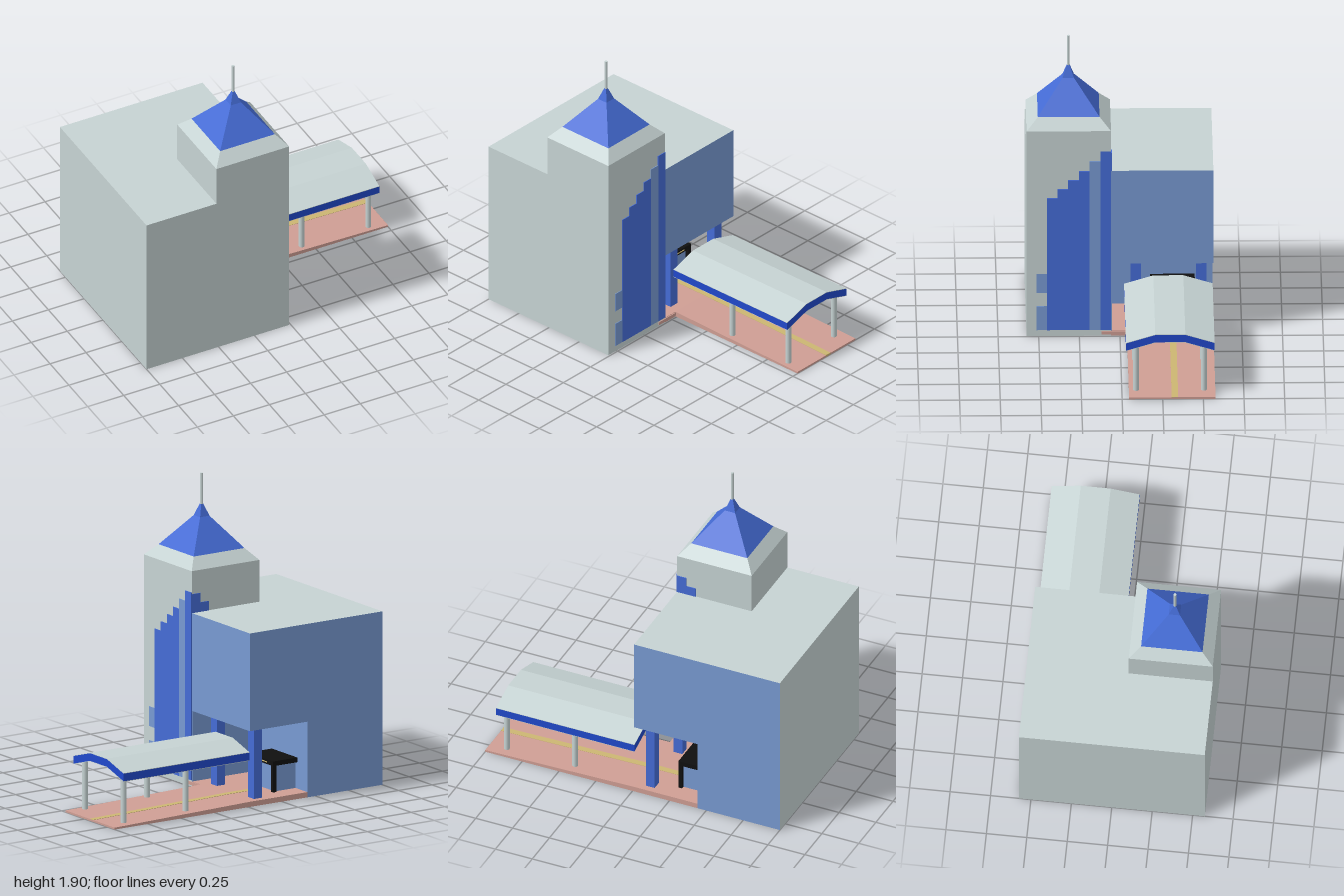
import * as THREE from 'three';

const mat = (name, color, extra = {}) =>
  Object.assign(new THREE.MeshStandardMaterial({ color, ...extra }), { name });

export function createModel() {
  const model = new THREE.Group();
  model.name = 'stationBuilding';

  const grey = mat('paleGrey', 0xc6d3d3);
  const glass = mat('lightBlueGlass', 0x789ad2);
  const blue = mat('blue', 0x456cd6);
  const trim = mat('deepBlueTrim', 0x2149cc);
  const pink = mat('pinkPaving', 0xcf9e94);
  const yellow = mat('yellowLine', 0xccb672);
  const black = mat('black', 0x101010);

  const add = (name, geometry, material, parent = model) => {
    const mesh = new THREE.Mesh(geometry, material);
    mesh.name = name;
    parent.add(mesh);
    return mesh;
  };
  // Box from its two extreme corners
  const box = (name, [x0, x1], [y0, y1], [z0, z1], material, parent) => {
    const g = new THREE.BoxGeometry(x1 - x0, y1 - y0, z1 - z0);
    g.translate((x0 + x1) / 2, (y0 + y1) / 2, (z0 + z1) / 2);
    return add(name, g, material, parent);
  };
  // Extrude a (z, y) outline along x
  const alongX = (name, outline, x0, x1, material, parent) => {
    const shape = new THREE.Shape(outline.map(([z, y]) => new THREE.Vector2(-z, y)));
    const g = new THREE.ExtrudeGeometry(shape, { depth: x1 - x0, bevelEnabled: false });
    g.rotateY(Math.PI / 2).translate(x0, 0, 0);
    return add(name, g, material, parent);
  };

  // Main building, with an open corner under the overhang
  const glazed = [glass, grey, grey, grey, grey, glass];
  box('mainBlock', [-1, -0.44], [0, 1.1], [-0.575, 0.575], glazed);
  box('overhang', [-0.44, -0.01], [0.48, 1.1], [-0.575, 0.055], glazed);
  box('tower', [-0.515, -0.01], [0, 1.365], [0.055, 0.575], grey);
  box('entranceSideWall', [-0.44, -0.012], [0.03, 0.48], [0.05, 0.055], glass);

  // Tower roof: stacked square frustums
  const roof = new THREE.Group();
  roof.name = 'towerRoof';
  roof.position.set(-0.2625, 0, 0.315);
  model.add(roof);
  const levels = [[1.365, 0.2525, 0.26], [1.435, 0.19, 0.19], [1.63, 0.035, 0.035], [1.705, 0.008, 0.008]];
  ['roofSkirt', 'roofPyramid', 'roofNeck'].forEach((name, i) => {
    const [y0, ax, az] = levels[i];
    const [y1, bx, bz] = levels[i + 1];
    const g = new THREE.BoxGeometry(2, y1 - y0, 2);
    const p = g.attributes.position;
    for (let k = 0; k < p.count; k++) {
      const top = p.getY(k) > 0;
      p.setX(k, p.getX(k) * (top ? bx : ax));
      p.setZ(k, p.getZ(k) * (top ? bz : az));
    }
    g.translate(0, (y0 + y1) / 2, 0);
    g.computeVertexNormals();
    add(name, g, i === 0 ? grey : blue, roof);
  });
  add('spire', new THREE.CylinderGeometry(0.009, 0.009, 0.2, 12).translate(0, 1.8, 0), grey, roof);

  // Stepped glazing on the tower side, rising towards the back
  const tops = [0.92, 0.98, 1.04, 1.1, 1.165, 1.23];
  const w = 0.395 / 6;
  tops.forEach((top, i) => {
    const z = 0.45 - i * w;
    box('steppedWindow', [-0.01, -0.005], [0.04, top], [z - w, z], i === 4 ? glass : blue);
  });
  // The steps continue round the corner above the roof
  [1.22, 1.16].forEach((top, i) =>
    box('rearSteppedWindow', [-0.01 - (i + 1) * 0.063, -0.01 - i * 0.063], [1.1, top], [0.05, 0.055], blue));
  [[0.04, 0.2], [0.29, 0.415]].forEach(range =>
    box('smallWindow', [-0.01, -0.006], range, [0.45, 0.513], glass));

  // Paving: floor under the overhang and gently sloping platform
  box('entranceFloor', [-0.44, -0.01], [0, 0.033], [-0.575, 0.055], pink);
  box('pavingEdge', [-0.01, -0.004], [0.01, 0.03], [-0.04, 0.115], pink);
  const slope = (name, z0, z1, lift, material) => {
    const s = new THREE.Shape([
      new THREE.Vector2(-0.01, lift), new THREE.Vector2(1, lift),
      new THREE.Vector2(1, 0.012 + lift), new THREE.Vector2(-0.01, 0.033 + lift)]);
    const g = new THREE.ExtrudeGeometry(s, { depth: z1 - z0, bevelEnabled: false });
    add(name, g.translate(0, 0, z0), material);
  };
  slope('platform', -0.575, -0.043, 0, pink);
  slope('platformStripe', -0.345, -0.305, 0.002, yellow);
  box('floorStripe', [-0.26, -0.01], [0.033, 0.035], [-0.345, -0.305], yellow);

  // Square pillars under the overhang
  [-0.0975, -0.5].forEach(z =>
    box('overhangPillar', [-0.13, -0.07], [0.03, 0.48], [z - 0.032, z + 0.032], blue));

  // Entrance porch with a black frame
  const porch = new THREE.Group();
  porch.name = 'entrancePorch';
  model.add(porch);
  box('porchGlass', [-0.44, -0.285], [0.033, 0.2], [-0.445, -0.21], glass, porch);
  box('porchHeader', [-0.44, -0.26], [0.2, 0.23], [-0.465, -0.19], black, porch);
  [-0.465, -0.215].forEach(z =>
    box('porchPost', [-0.285, -0.26], [0.033, 0.2], [z, z + 0.025], black, porch));
  box('headerStripe', [-0.26, -0.257], [0.211, 0.217], [-0.4, -0.25], yellow, porch);

  // Canopy: blue body with grey sheets above and below
  const canopy = new THREE.Group();
  canopy.name = 'canopy';
  model.add(canopy);
  const arch = [[-0.025, 0.345], [-0.205, 0.4], [-0.39, 0.4], [-0.57, 0.345]];
  const band = (upper, lower) => [
    ...arch.map(([z, y]) => [z, y + upper]),
    ...arch.map(([z, y]) => [z, y + lower]).reverse()];
  alongX('canopyBody', band(-0.002, -0.05), -0.01, 0.93, trim, canopy);
  alongX('canopyRoofSheet', band(0.001, -0.002), -0.01, 0.93, grey, canopy);
  alongX('canopySoffit', band(-0.05, -0.053), -0.01, 0.93, grey, canopy);
  for (const x of [0.422, 0.885])
    for (const z of [-0.087, -0.505]) {
      const g = new THREE.CylinderGeometry(0.018, 0.018, 0.3, 16);
      add('canopyColumn', g.translate(x, 0.165, z), grey, canopy);
    }

  return model;
}
